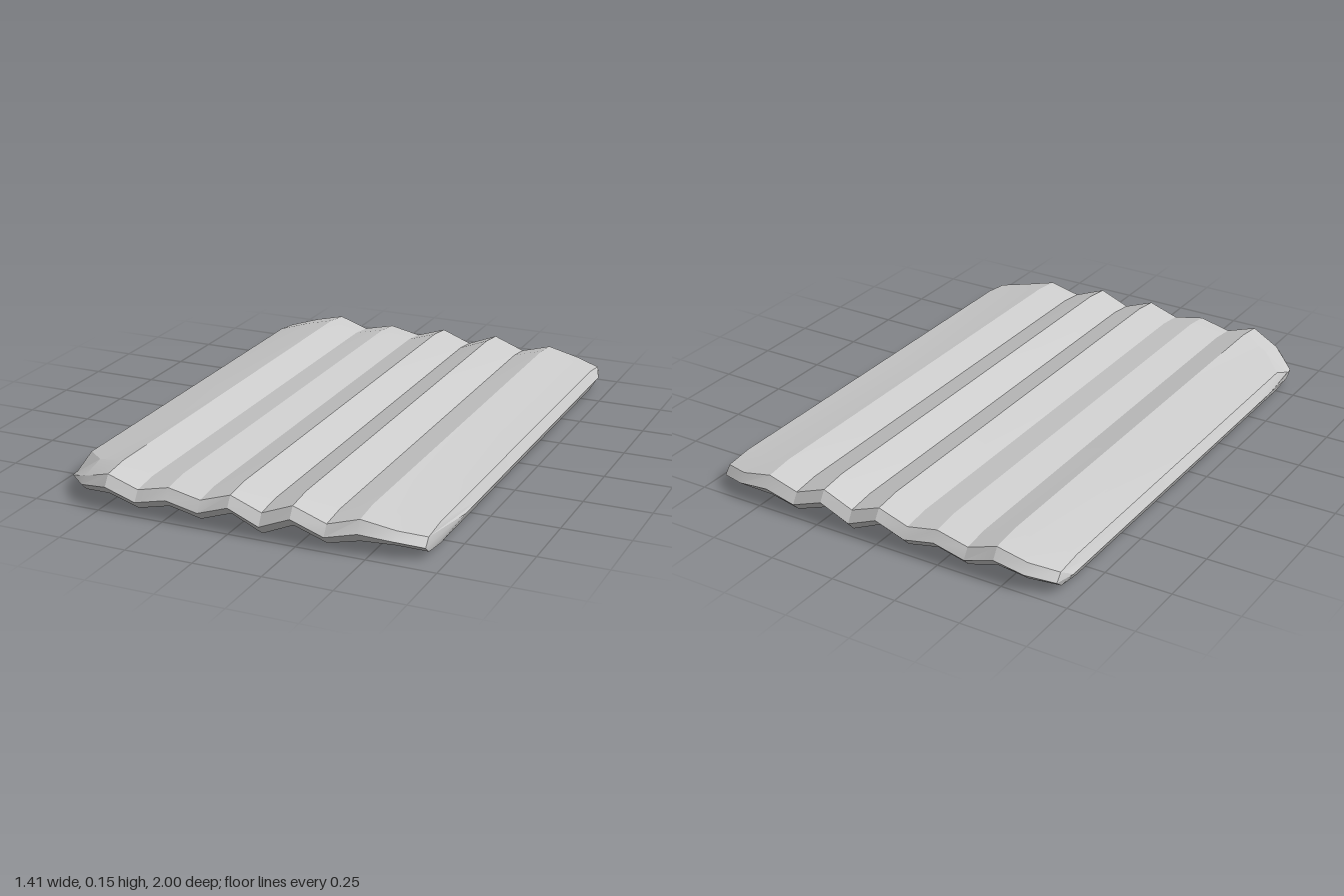
import * as THREE from 'three';
import { toCreasedNormals } from 'three/addons/utils/BufferGeometryUtils.js';

// Cross-sections from -x to +x: [x, top y, bottom y, back z, front z]
const SECTIONS = [
  [-0.705, 0.05, 0.05, -0.88, 0.62],
  [-0.685, 0.09, 0.012, -0.955, 0.86],
  [-0.585, 0.115, 0.028, -0.995, 0.965],
  [-0.47, 0.142, 0.045, -1, 1],
  [-0.355, 0.103, 0.01, -1, 1],
  [-0.235, 0.131, 0.038, -1, 1],
  [-0.115, 0.106, 0.012, -1, 1],
  [0, 0.144, 0.052, -1, 1],
  [0.115, 0.1, 0, -1, 1],
  [0.23, 0.146, 0.05, -1, 1],
  [0.35, 0.1, 0.006, -1, 0.995],
  [0.465, 0.133, 0.03, -1, 0.985],
  [0.585, 0.106, 0.028, -0.995, 0.965],
  [0.685, 0.09, 0.012, -0.955, 0.935],
  [0.705, 0.05, 0.05, -0.88, 0.62],
];

// Closed loop in the y-z plane: front edge, over the top, back edge, along the underside
function ring([x, top, bottom, back, front], index) {
  const flat = top === bottom;
  const mid = flat ? top : bottom + (top - bottom) * 0.46;
  const bevel = flat ? 0 : 0.025;
  const dip = flat ? 0 : 0.012;
  const worn = index === 1 ? 0.03 : index === 2 ? 0.012 : 0; // chipped front corner
  return [
    [x, mid, front],
    [x, top - dip - worn, front - bevel],
    [x, top, front - 0.13],
    [x, top, 0],
    [x, top, back + 0.13],
    [x, top - dip, back + bevel],
    [x, mid, back],
    [x, bottom + dip, back + bevel * 1.2],
    [x, bottom, back + 0.13],
    [x, bottom, 0],
    [x, bottom, front - 0.13],
    [x, bottom + dip, front - bevel * 1.2],
  ];
}

function loft(rings) {
  const n = rings[0].length;
  const index = [];
  for (let i = 0; i < rings.length - 1; i++) {
    for (let j = 0; j < n; j++) {
      const k = (j + 1) % n;
      const a = i * n + j, b = a + n, c = (i + 1) * n + k, d = i * n + k;
      index.push(a, b, c, a, c, d);
    }
  }
  const geometry = new THREE.BufferGeometry();
  geometry.setAttribute('position', new THREE.Float32BufferAttribute(rings.flat(2), 3));
  geometry.setIndex(index);
  return toCreasedNormals(geometry, 0.3);
}

export function createModel() {
  const group = new THREE.Group();
  group.name = 'corrugatedPanel';
  const material = new THREE.MeshStandardMaterial({ color: 0xcccccc });

  // Ridged sheet with bevelled rim
  const sheet = new THREE.Mesh(loft(SECTIONS.map(ring)), material);
  sheet.name = 'corrugatedSheet';
  group.add(sheet);
  return group;
}
